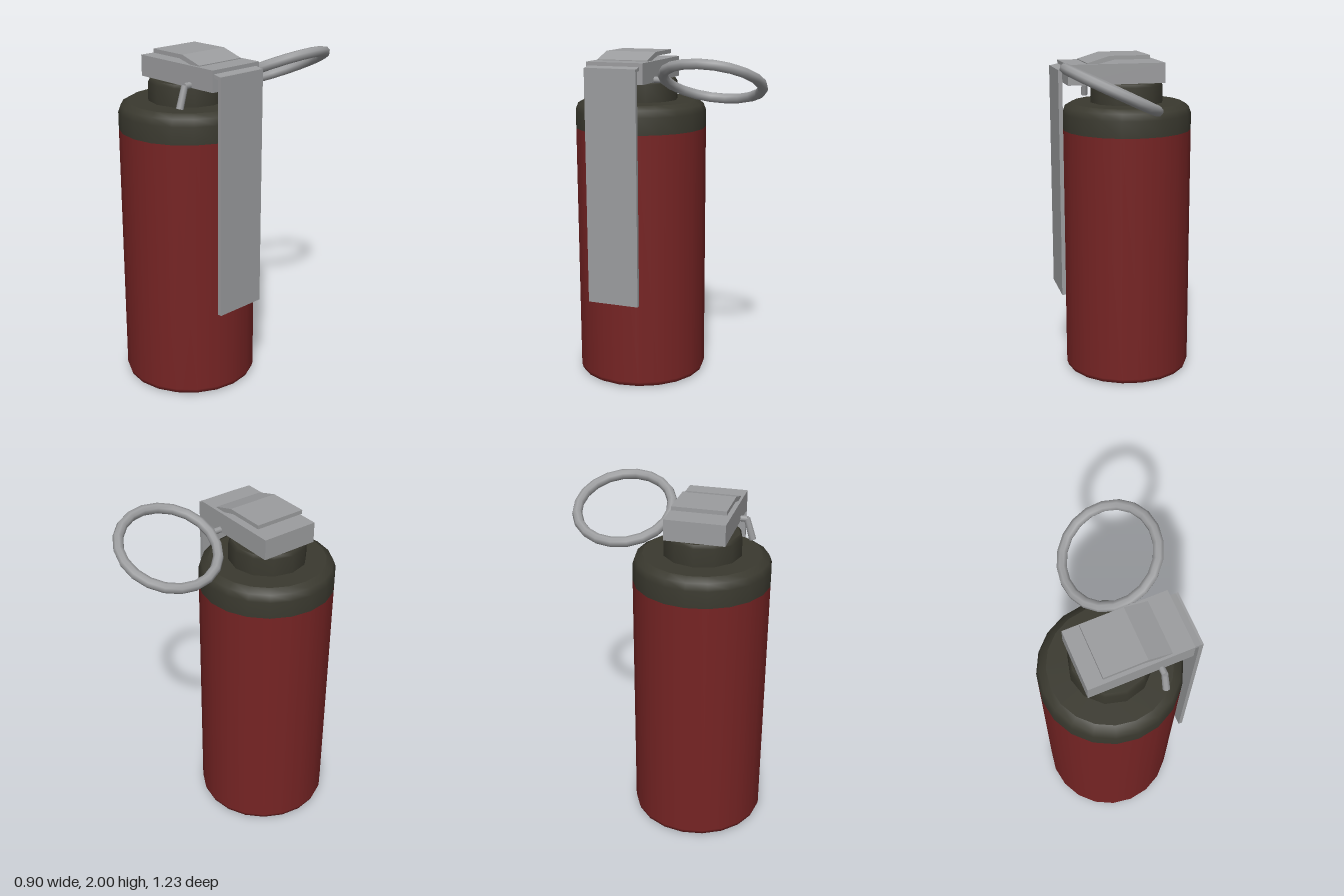
import * as THREE from 'three';

export function createModel() {
  const group = new THREE.Group();
  const mat = (name, color) => {
    const m = new THREE.MeshStandardMaterial({ color });
    m.name = name;
    return m;
  };
  const red = mat('body red', 0x762424);
  const olive = mat('dark olive', 0x3a392f);
  const steel = mat('steel grey', 0x9c9d9f);

  const CX = -0.055, CZ = 0.22; // axis of the canister
  const add = (name, geo, material, x = 0, y = 0, z = 0) => {
    const mesh = new THREE.Mesh(geo, material);
    mesh.name = name;
    mesh.position.set(x, y, z);
    group.add(mesh);
    return mesh;
  };
  const lathe = (pts, sides) =>
    new THREE.LatheGeometry(pts.map(([r, y]) => new THREE.Vector2(r, y)), sides);
  // side profile in x/y, extruded between two z values
  const bent = (pts, z0, z1) => {
    const shape = new THREE.Shape(pts.map(([x, y]) => new THREE.Vector2(x, y)));
    return new THREE.ExtrudeGeometry(shape, { depth: z1 - z0, bevelEnabled: false }).translate(0, 0, z0);
  };

  // canister body, shoulder and neck
  add('bodyBase', lathe([[0, 0], [0.365, 0]], 20), red, CX, 0, CZ);
  add('body', lathe([[0.365, 0], [0.387, 0.01], [0.395, 0.035], [0.395, 1.545]], 20), red, CX, 0, CZ);
  add('shoulder', lathe([[0.395, 1.545], [0.395, 1.645], [0.38, 1.685], [0.34, 1.708]], 20), olive, CX, 0, CZ);
  add('shoulderTop', lathe([[0.34, 1.708], [0.2, 1.71]], 20), olive, CX, 0, CZ);
  add('neck', lathe([[0.225, 1.7], [0.225, 1.815], [0.212, 1.835]], 12), olive, CX, 0, CZ);
  add('neckTop', lathe([[0.212, 1.835], [0, 1.835]], 12), olive, CX, 0, CZ);

  // fuse cap with the raised spring plate on top
  add('cap', new THREE.BoxGeometry(0.59, 0.12, 0.345), steel, 0.045, 1.895, 0.2175);
  add('springPlate', bent([[-0.16, 1.977], [0.06, 1.977], [0.17, 1.95], [0.22, 1.95],
    [0.22, 1.96], [0.085, 2], [-0.16, 2]], 0.065, 0.375), steel);

  // safety lever hanging beside the body, joined to the cap by a short bridge
  add('lever', bent([[0.369, 0.545], [0.393, 0.545], [0.393, 1.925], [0.369, 1.925]], 0.067, 0.38), steel);
  add('leverBridge', bent([[0.335, 1.915], [0.385, 1.905], [0.393, 1.922], [0.335, 1.935]], 0.067, 0.38), steel);

  // pin with its bent end
  const pin = add('pin', new THREE.CylinderGeometry(0.018, 0.018, 0.43, 8), steel, 0.16, 1.848, 0.215);
  pin.rotation.x = Math.PI / 2;
  const pinEnd = add('pinEnd', new THREE.CylinderGeometry(0.019, 0.021, 0.13, 8), steel, 0.16, 1.79, 0.445);
  pinEnd.rotation.x = -0.3;

  // pull ring, tilted about the pin axis
  const ring = add('pullRing', new THREE.TorusGeometry(0.2825, 0.03, 8, 20).rotateX(Math.PI / 2),
    steel, 0.162, 1.848, -0.305);
  ring.rotation.z = THREE.MathUtils.degToRad(25.3);

  return group;
}
